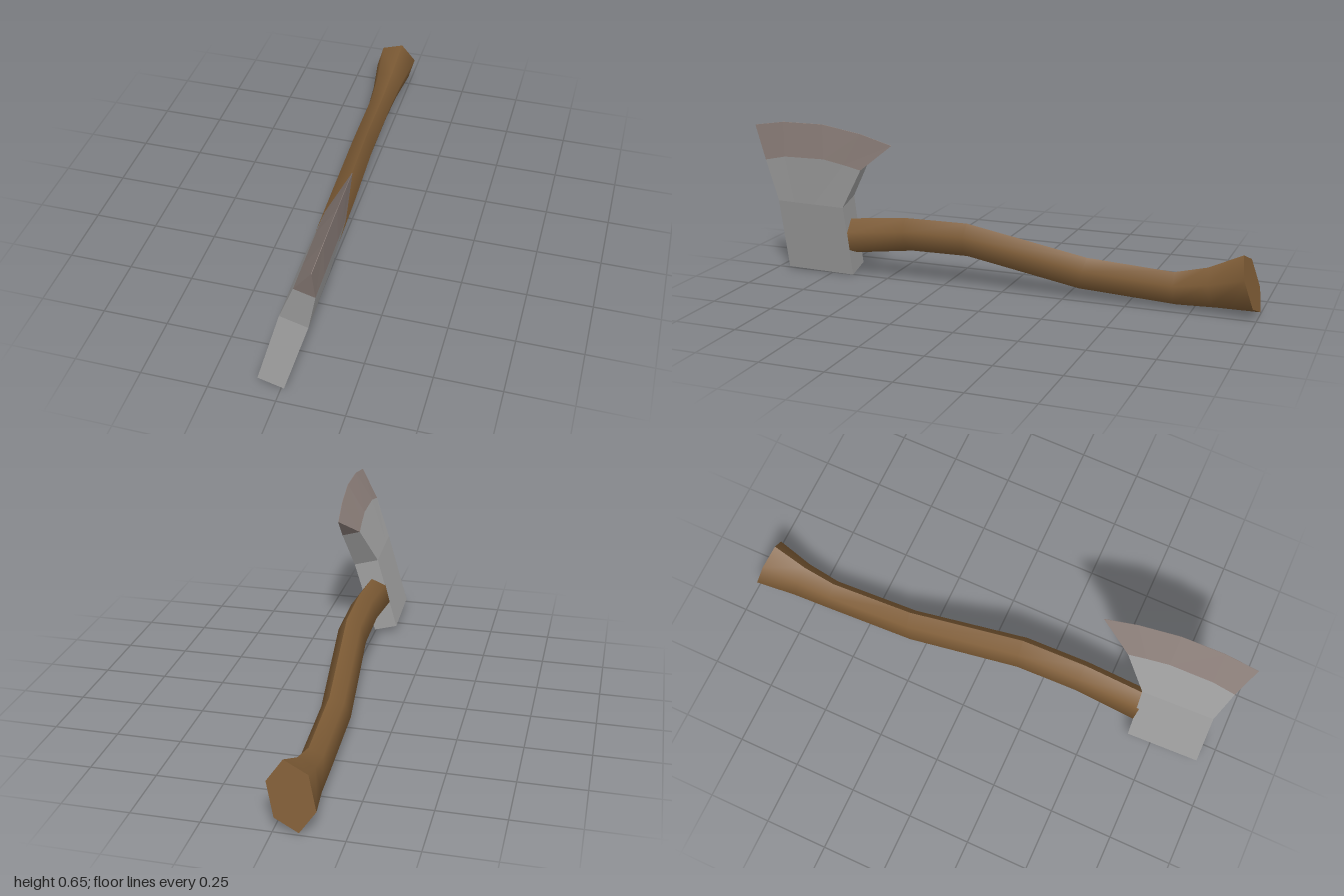
import * as THREE from 'three';
import { toCreasedNormals } from 'three/addons/utils/BufferGeometryUtils.js';

const steel = new THREE.MeshStandardMaterial({ color: 0xa2a2a2 });
steel.name = 'steel';
const ground = new THREE.MeshStandardMaterial({ color: 0x8b7e79 });
ground.name = 'ground edge';
const wood = new THREE.MeshStandardMaterial({ color: 0x7d5b35 });
wood.name = 'wood';

// The axe lies rolled to its left: u runs across the blade, v up the blade.
const COS = 0.961, SIN = 0.276;
const roll = (u, v) => [COS * u + SIN * v, -SIN * u + COS * v];

// Triangles from quads given as four corners, counter-clockwise from outside.
function quadGeometry(quads) {
  const pos = [];
  for (const [a, b, c, d] of quads) pos.push(...a, ...b, ...c, ...a, ...c, ...d);
  const g = new THREE.BufferGeometry();
  g.setAttribute('position', new THREE.Float32BufferAttribute(pos, 3));
  g.computeVertexNormals();
  return g;
}

// Head levels: half width, then [z, v] per column from front to back.
const spread = (z0, z1, v0, v1) =>
  [0, 0.25, 0.55, 0.8, 1].map((t) => [z0 + (z1 - z0) * t, v0 + (v1 - v0) * t]);
const LEVELS = [
  { w: 0.05, cols: spread(0.945, 0.655, 0, 0) },
  { w: 0.053, cols: spread(0.93, 0.645, 0.32, 0.32) },
  { w: 0.039, cols: [[0.96, 0.497], [0.87, 0.52], [0.7, 0.526], [0.615, 0.51], [0.545, 0.494]] },
  { w: 0.0008, cols: [[1, 0.63], [0.87, 0.655], [0.7, 0.66], [0.54, 0.634], [0.415, 0.596]] },
];

function headPoint(i, j, side) {
  const { w, cols } = LEVELS[i];
  const [z, v] = cols[j];
  const [x, y] = roll(side * w, v);
  return [x - 0.035 + 0.03 * (z - 0.95), y + 0.023 + 0.03 * (z - 0.95), z];
}

function headBand(from, to) {
  const quads = [], P = headPoint, last = 4;
  for (let i = from; i < to; i++) {
    for (let j = 0; j < last; j++) {
      quads.push([P(i, j, 1), P(i, j + 1, 1), P(i + 1, j + 1, 1), P(i + 1, j, 1)]);
      quads.push([P(i, j + 1, -1), P(i, j, -1), P(i + 1, j, -1), P(i + 1, j + 1, -1)]);
    }
    quads.push([P(i, 0, -1), P(i, 0, 1), P(i + 1, 0, 1), P(i + 1, 0, -1)]);
    quads.push([P(i, last, 1), P(i, last, -1), P(i + 1, last, -1), P(i + 1, last, 1)]);
  }
  for (let j = 0; j < last; j++) {
    // underside of the head, top of the cutting edge
    if (from === 0) quads.push([P(0, j, -1), P(0, j + 1, -1), P(0, j + 1, 1), P(0, j, 1)]);
    else quads.push([P(to, j, 1), P(to, j + 1, 1), P(to, j + 1, -1), P(to, j, -1)]);
  }
  return quadGeometry(quads);
}

// Handle stations from head to pommel: x, y, z, radius, forward lean of the section.
const STATIONS = [
  [-0.002, 0.167, 0.655, 0.08, 0.1],
  [0, 0.197, 0.4, 0.076, 0.06],
  [-0.007, 0.197, 0.15, 0.076, -0.1],
  [-0.052, 0.098, -0.315, 0.073, -0.3],
  [-0.062, 0.075, -0.68, 0.073, 0.03],
  [-0.061, 0.094, -0.82, 0.088, 0.15],
  [-0.058, 0.126, -0.97, 0.122, 0.25],
];

function handleGeometry() {
  const pos = [], index = [], n = 6, end = STATIONS.length - 1;
  for (const [cx, cy, cz, r, lean] of STATIONS) {
    for (let k = 0; k < n; k++) {
      const a = (k / n) * Math.PI * 2;
      const v = r * Math.cos(a);
      const [x, y] = roll(0.72 * r * Math.sin(a), v);
      pos.push(cx + x, cy + y, cz + lean * v);
    }
  }
  for (let i = 0; i < end; i++) {
    for (let k = 0; k < n; k++) {
      const a = i * n + k, b = i * n + (k + 1) % n;
      index.push(a, b, a + n, b, b + n, a + n);
    }
  }
  // end caps
  for (let k = 1; k < n - 1; k++) {
    index.push(0, k + 1, k, end * n, end * n + k, end * n + k + 1);
  }
  const g = new THREE.BufferGeometry();
  g.setAttribute('position', new THREE.Float32BufferAttribute(pos, 3));
  g.setIndex(index);
  return toCreasedNormals(g, Math.PI / 3);
}

export function createModel() {
  const axe = new THREE.Group();
  axe.name = 'axe';
  const add = (name, geometry, material) => {
    const mesh = new THREE.Mesh(geometry, material);
    mesh.name = name;
    axe.add(mesh);
  };
  add('axeHead', headBand(0, 2), steel);
  add('cuttingEdge', headBand(2, 3), ground);
  add('handle', handleGeometry(), wood);
  return axe;
}
